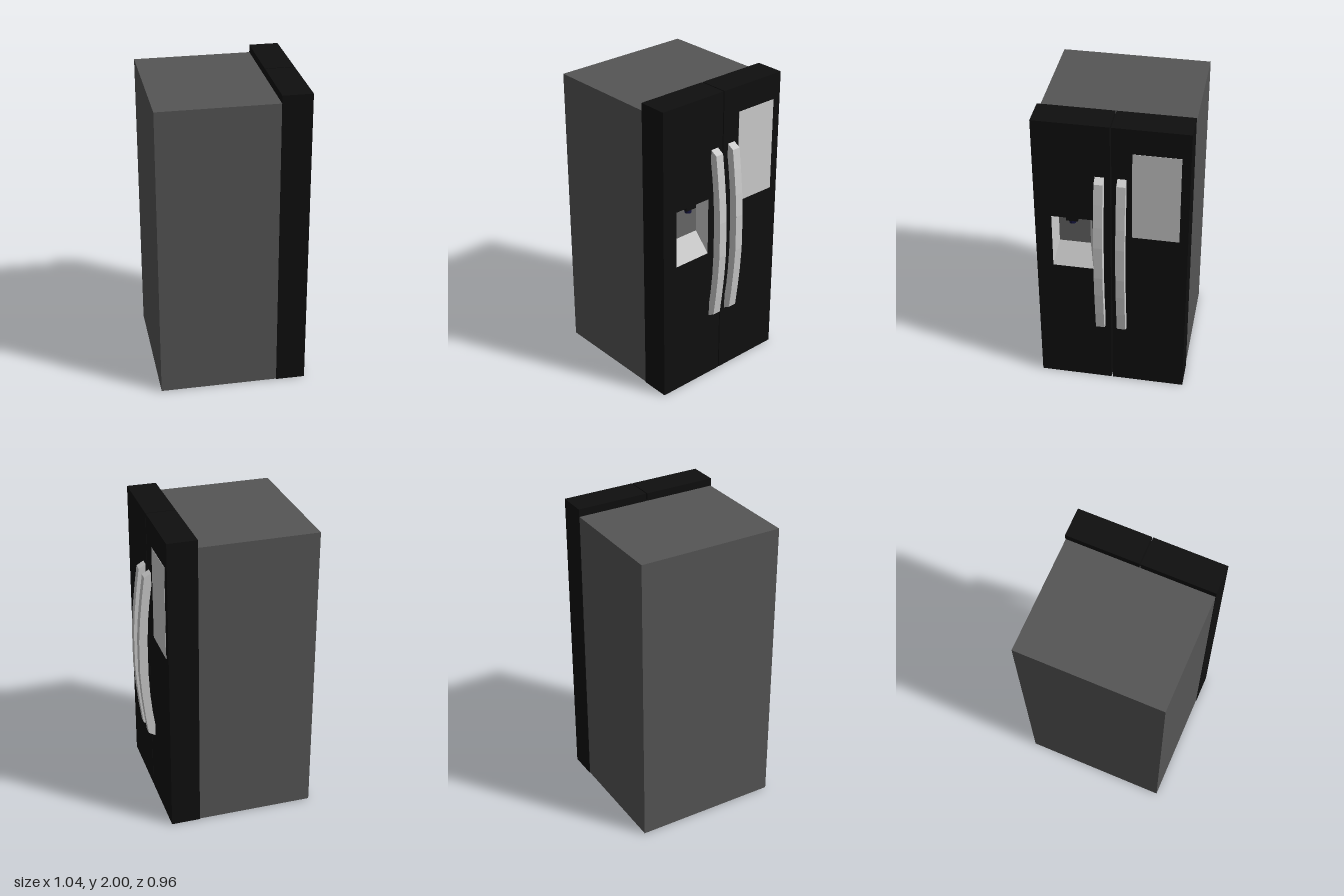
import * as THREE from 'three';

const material = (color, side = THREE.FrontSide) =>
  new THREE.MeshStandardMaterial({ color, side, flatShading: true });
const caseGrey = material(0x555555);
const black = material(0x0f0f0f);
const light = material(0xcccccc);
const lightThin = material(0xcccccc, THREE.DoubleSide);
const recessGrey = material(0x666666, THREE.DoubleSide);
const navy = material(0x14143c);

// The doors face +x
const DOOR_BACK = 0.24, DOOR_FRONT = 0.43, RECESS_BACK = 0.35;

function add(parent, name, geometry, mat) {
  const mesh = new THREE.Mesh(geometry, mat);
  mesh.name = name;
  parent.add(mesh);
  return mesh;
}

// Box given by its limits on each axis
function box(parent, name, [x0, x1], [y0, y1], [z0, z1], mat) {
  const geometry = new THREE.BoxGeometry(x1 - x0, y1 - y0, z1 - z0);
  geometry.translate((x0 + x1) / 2, (y0 + y1) / 2, (z0 + z1) / 2);
  return add(parent, name, geometry, mat);
}

// Corners of a rectangle in the (z, y) plane at depth x
const ring = (x, [z0, z1], [y0, y1]) =>
  [[x, y0, z0], [x, y0, z1], [x, y1, z1], [x, y1, z0]];

function quads(list) {
  const points = list.flatMap(([a, b, c, d]) => [a, b, c, a, c, d]);
  const geometry = new THREE.BufferGeometry();
  geometry.setAttribute('position', new THREE.Float32BufferAttribute(points.flat(), 3));
  geometry.computeVertexNormals();
  return geometry;
}

// Front layer of the dispenser door, with an opening cut through it
function doorFrontLayer() {
  const shape = new THREE.Shape([[-0.48, 0], [-0.004, 0], [-0.004, 2], [-0.48, 2]]
    .map(([u, y]) => new THREE.Vector2(u, y)));
  shape.holes.push(new THREE.Path([[-0.375, 0.93], [-0.375, 1.315], [-0.115, 1.315], [-0.115, 0.93]]
    .map(([u, y]) => new THREE.Vector2(u, y))));
  const geometry = new THREE.ExtrudeGeometry(shape, { depth: DOOR_FRONT - RECESS_BACK, bevelEnabled: false });
  return geometry.rotateY(Math.PI / 2).translate(RECESS_BACK, 0, 0);
}

function createDispenser() {
  const group = new THREE.Group();
  group.name = 'dispenser';
  // Tapered walls narrowing to the back panel
  const front = ring(DOOR_FRONT, [0.115, 0.375], [0.93, 1.315]);
  const back = ring(RECESS_BACK + 0.002, [0.145, 0.345], [1.075, 1.314]);
  const walls = front.map((corner, i) => {
    const j = (i + 1) % 4;
    return [corner, back[i], back[j], front[j]];
  });
  add(group, 'recessWalls', quads(walls), lightThin);
  add(group, 'recessBack', quads([[back[1], back[0], back[3], back[2]]]), recessGrey);
  // Spout under the recess ceiling
  box(group, 'spoutHousing', [0.355, 0.42], [1.285, 1.314], [0.21, 0.285], black);
  const nozzle = add(group, 'spoutNozzle', new THREE.CylinderGeometry(0.022, 0.022, 0.03, 12), navy);
  nozzle.position.set(0.39, 1.273, 0.248);
  return group;
}

// Bowed bar: side profile mirrored about its middle height
function handleGeometry() {
  const middle = 1.05, width = 0.056;
  const outer = [[0.425, 0.597], [0.475, 0.567], [0.493, 0.43], [0.51, 0.27], [0.52, 0.12]];
  const inner = [[0.465, 0.12], [0.457, 0.28], [0.445, 0.4], [0.425, 0.54]];
  const flip = (list) => list.map(([x, y]) => [x, -y]).reverse();
  const outline = [...outer, ...flip(outer), ...flip(inner), ...inner]
    .map(([x, y]) => new THREE.Vector2(x, y + middle));
  return new THREE.ExtrudeGeometry(new THREE.Shape(outline), { depth: width, bevelEnabled: false })
    .translate(0, 0, -width / 2);
}

export function createModel() {
  const model = new THREE.Group();
  model.name = 'refrigerator';

  box(model, 'cabinet', [-0.525, 0.25], [0.002, 1.95], [-0.477, 0.477], caseGrey);
  box(model, 'doorSeal', [0.25, 0.252], [0.06, 1.93], [-0.01, 0.01], light);

  // Door with the dispenser
  const leftDoor = new THREE.Group();
  leftDoor.name = 'dispenserDoor';
  box(leftDoor, 'doorBackLayer', [DOOR_BACK, RECESS_BACK], [0, 2], [0.004, 0.48], black);
  add(leftDoor, 'doorFrontLayer', doorFrontLayer(), black);
  leftDoor.add(createDispenser());

  // Door with the flush panel
  const rightDoor = new THREE.Group();
  rightDoor.name = 'panelDoor';
  box(rightDoor, 'doorSlab', [DOOR_BACK, DOOR_FRONT], [0, 2], [-0.48, -0.004], black);
  box(rightDoor, 'frontPanel', [0.42, 0.432], [1.215, 1.83], [-0.425, -0.13], light);

  // A handle on each door, either side of the seam
  const bar = handleGeometry();
  for (const [door, side] of [[leftDoor, 1], [rightDoor, -1]]) {
    add(door, 'handle', bar, light).position.z = side * 0.069;
    model.add(door);
  }
  return model;
}
